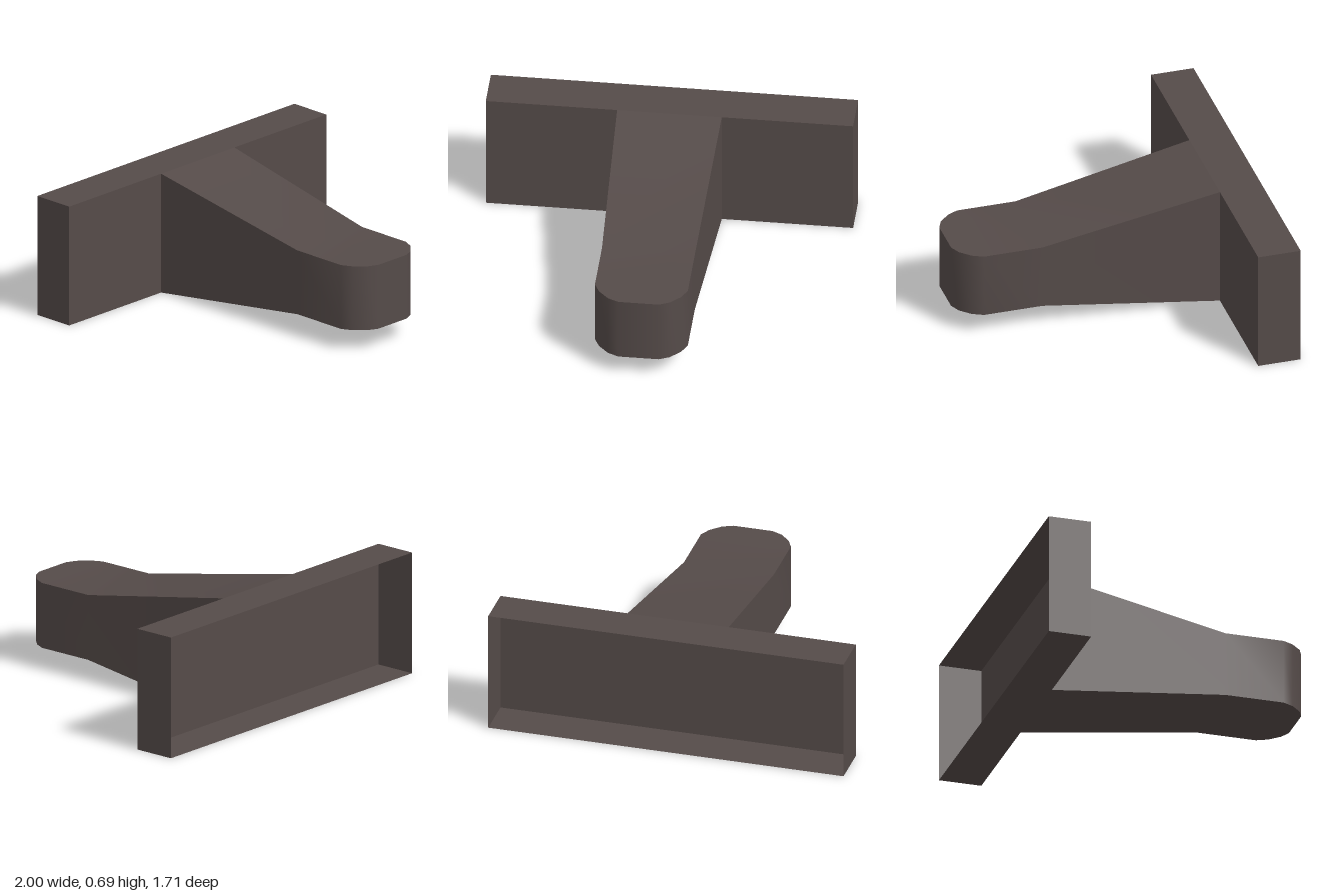
import * as THREE from 'three';
import { toCreasedNormals } from 'three/addons/utils/BufferGeometryUtils.js';

// Skins a row of rectangles [z, halfWidth, bottom, top], back to front, and caps the front.
function loftRectangles(stations) {
  const positions = [];
  const index = [];
  for (const [z, w, y0, y1] of stations) {
    positions.push(-w, y0, z, w, y0, z, w, y1, z, -w, y1, z);
  }
  const last = stations.length - 1;
  for (let i = 0; i < last; i++) {
    for (let k = 0; k < 4; k++) {
      const a = i * 4 + k;
      const b = i * 4 + ((k + 1) % 4);
      index.push(a, b, b + 4, a, b + 4, a + 4);
    }
  }
  const c = last * 4;
  index.push(c, c + 1, c + 2, c, c + 2, c + 3);
  const geometry = new THREE.BufferGeometry();
  geometry.setAttribute('position', new THREE.Float32BufferAttribute(positions, 3));
  geometry.setIndex(index);
  return toCreasedNormals(geometry, 0.6);
}

export function createModel() {
  const group = new THREE.Group();
  const darkBrown = new THREE.MeshStandardMaterial({ color: 0x554b49, side: THREE.DoubleSide });
  darkBrown.name = 'darkBrown';

  // Wide thin-walled tray, open at the back
  const trayGeometry = new THREE.BoxGeometry(2, 0.685, 0.24);
  trayGeometry.setIndex(Array.from(trayGeometry.index.array).slice(0, 30));
  trayGeometry.clearGroups();
  const tray = new THREE.Mesh(trayGeometry, darkBrown);
  tray.name = 'backTray';
  tray.position.set(0, 0.3425, -0.733);
  group.add(tray);

  // Tapering arm with a level, rounded tip
  const arm = new THREE.Mesh(loftRectangles([
    [-0.613, 0.285, 0, 0.685],
    [0.38, 0.253, 0.122, 0.49],
    [0.71, 0.253, 0.122, 0.49],
    [0.77, 0.224, 0.122, 0.49],
    [0.827, 0.168, 0.122, 0.49],
    [0.853, 0.11, 0.122, 0.49],
  ]), darkBrown);
  arm.name = 'arm';
  group.add(arm);

  return group;
}
